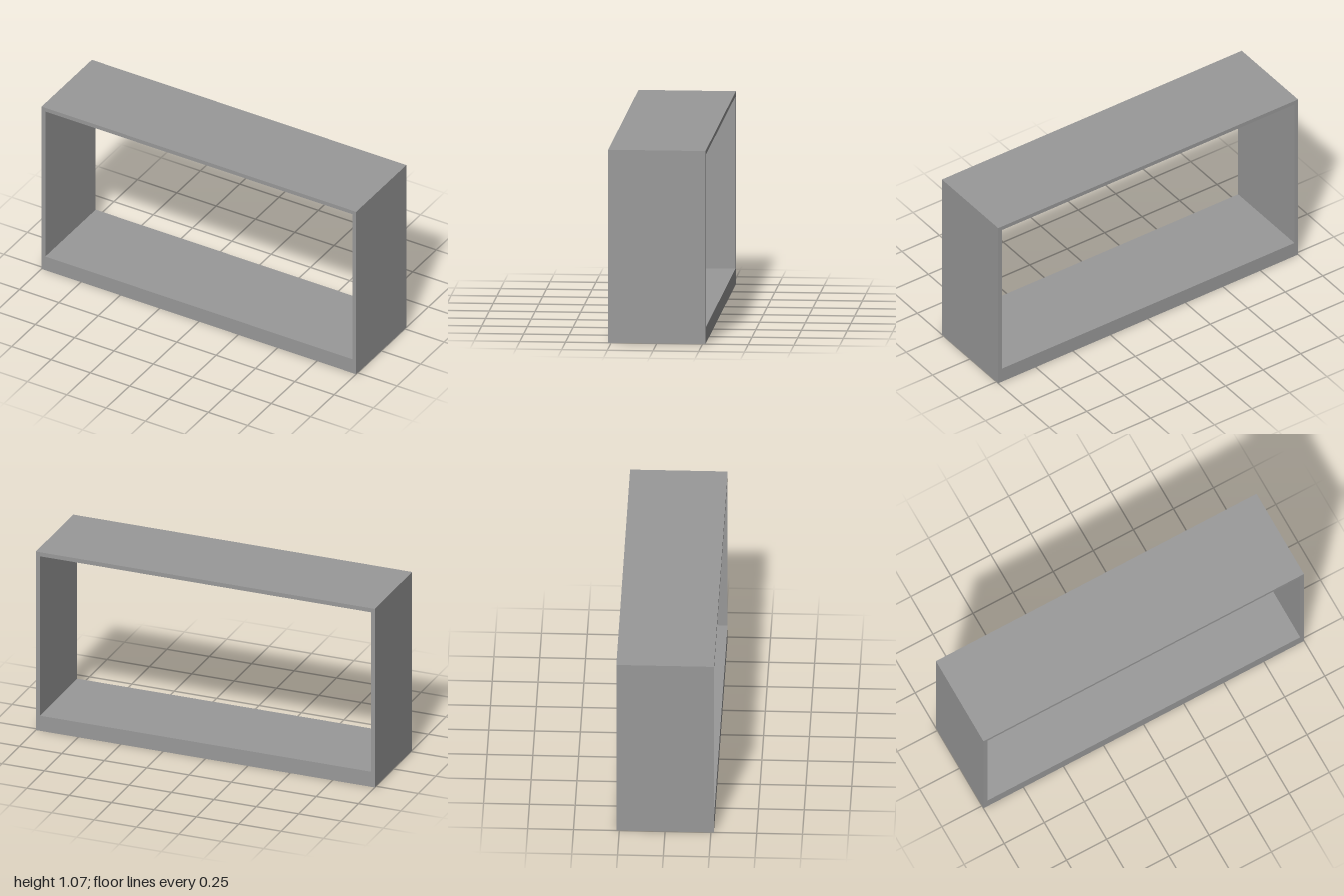
import * as THREE from 'three';

const W = 2, H = 1.067, D = 0.533;   // overall size
const T = 0.024;                     // panel thickness
const SHELF_TOP = 0.09, RECESS = 0.066;

// Rectangle corners in shape space
const rect = (x0, y0, x1, y1) => [[x0, y0], [x1, y0], [x1, y1], [x0, y1]].map(([x, y]) => new THREE.Vector2(x, y));

// Extruded rectangle with a rectangular opening, centred on its depth
function ring(outer, inner, depth) {
  const shape = new THREE.Shape(rect(...outer));
  shape.holes.push(new THREE.Path(rect(...inner)));
  return new THREE.ExtrudeGeometry(shape, { depth, bevelEnabled: false }).translate(0, 0, -depth / 2);
}

export function createModel() {
  const group = new THREE.Group();
  const grey = new THREE.MeshStandardMaterial({ color: 0x999999 });
  grey.name = 'grey';

  const add = (name, geometry) => {
    const mesh = new THREE.Mesh(geometry, grey);
    mesh.name = name;
    group.add(mesh);
    return mesh;
  };

  // Open box: top, sides and shelf, open at front and back
  add('frame', ring([-W / 2, RECESS, W / 2, H], [-W / 2 + T, SHELF_TOP, W / 2 - T, H - T], D));

  // Plinth rim that leaves the underside hollow
  const plinth = add('plinth', ring(
    [-W / 2, -D / 2, W / 2, D / 2],
    [-W / 2 + T, -D / 2 + T, W / 2 - T, D / 2 - T], RECESS));
  plinth.rotation.x = -Math.PI / 2;
  plinth.position.y = RECESS / 2;

  return group;
}
